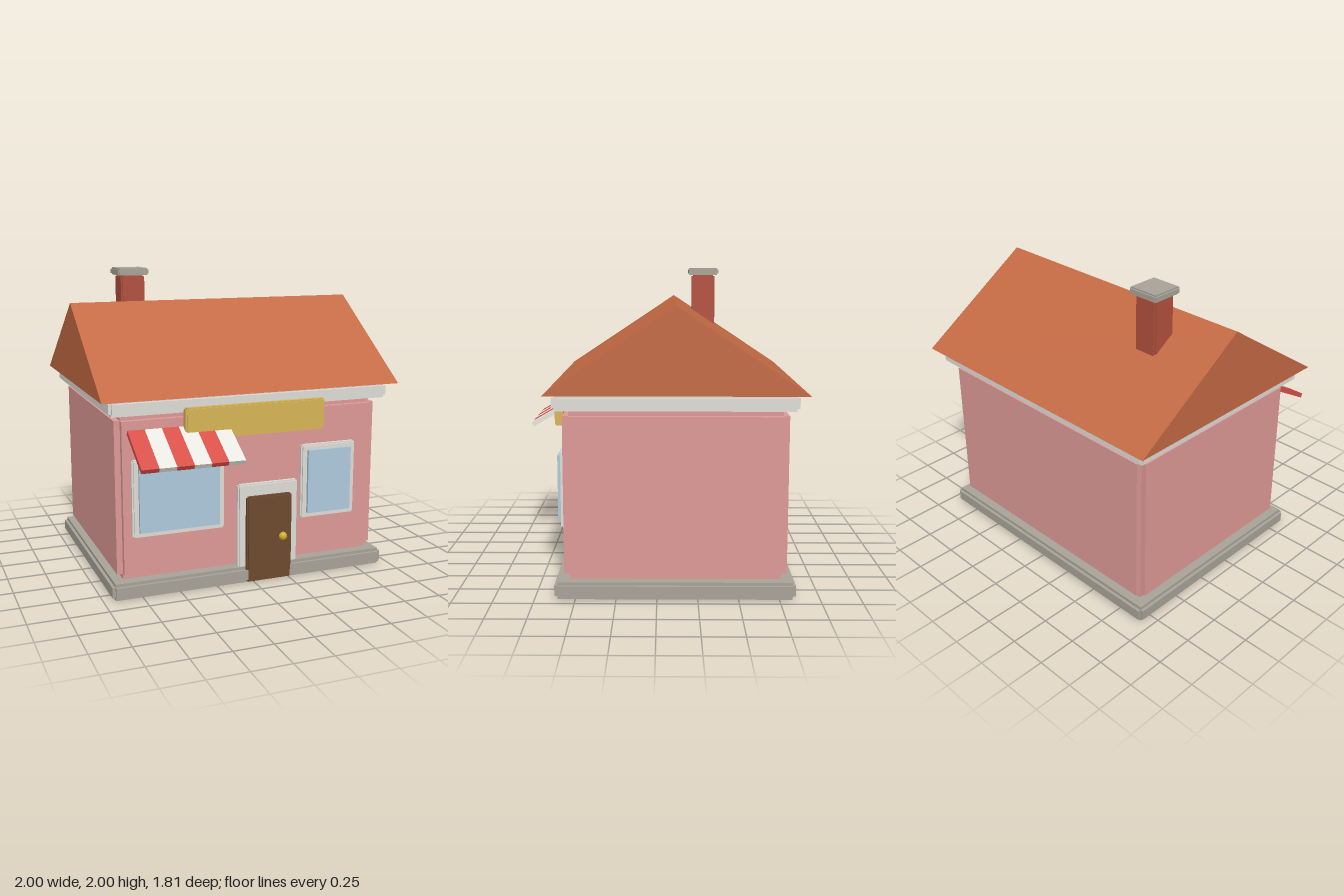
import * as THREE from 'three';

const mat = (color) => new THREE.MeshStandardMaterial({ color, flatShading: true });
const COL = {
  wall: mat(0xdf9a97), stone: mat(0xa8a499), trim: mat(0xe0ded8), roof: mat(0xc46a44),
  brick: mat(0xb3503e), sign: mat(0xd8b757), red: mat(0xd9504a), white: mat(0xe8e6e0),
  glass: mat(0xafcbde), door: mat(0x6e4a2e), brass: mat(0xd0a828),
};

export function createModel() {
  const house = new THREE.Group();
  house.name = 'shop';

  // Block with notched edges: three crossing boxes, each full size along one axis
  function block(name, material, [x0, x1], [y0, y1], [z0, z1], notch) {
    const part = new THREE.Group();
    part.name = name;
    const size = [x1 - x0, y1 - y0, z1 - z0];
    for (let axis = 0; axis < 3; axis++) {
      const dims = size.map((s, i) => (i === axis ? s : s - 2 * notch));
      const mesh = new THREE.Mesh(new THREE.BoxGeometry(...dims), material);
      mesh.name = name + 'Core' + 'XYZ'[axis];
      part.add(mesh);
    }
    part.position.set((x0 + x1) / 2, (y0 + y1) / 2, (z0 + z1) / 2);
    house.add(part);
    return part;
  }

  // Base, walls and cornice
  block('base', COL.stone, [-0.945, 0.945], [0, 0.108], [-0.85, 0.628], 0.02);
  block('walls', COL.wall, [-0.895, 0.895], [0.105, 1.165], [-0.8, 0.573], 0.038);
  block('cornice', COL.trim, [-0.945, 0.945], [1.165, 1.265], [-0.85, 0.628], 0.018);

  // Gable roof: triangle extruded along x
  const gable = new THREE.Shape([
    new THREE.Vector2(-0.79, 0), new THREE.Vector2(0.79, 0), new THREE.Vector2(0, 0.525),
  ]);
  const roofGeo = new THREE.ExtrudeGeometry(gable, { depth: 2, bevelEnabled: false });
  roofGeo.translate(0, 0, -1).rotateY(Math.PI / 2);
  const roof = new THREE.Mesh(roofGeo, COL.roof);
  roof.name = 'roof';
  roof.position.set(0, 1.265, -0.115);
  house.add(roof);

  // Chimney
  block('chimney', COL.brick, [-0.62, -0.455], [1.4, 1.955], [-0.407, -0.242], 0.012);
  block('chimneyCap', COL.stone, [-0.645, -0.43], [1.952, 2], [-0.433, -0.218], 0.01);

  // Windows
  for (const [side, x0, x1] of [['right', -0.805, -0.2], ['left', 0.34, 0.73]]) {
    block(side + 'WindowFrame', COL.trim, [x0, x1], [0.39, 0.885], [0.55, 0.603], 0.01);
    const pane = new THREE.Mesh(new THREE.BoxGeometry(x1 - x0 - 0.08, 0.425, 0.04), COL.glass);
    pane.name = side + 'WindowGlass';
    pane.position.set((x0 + x1) / 2, 0.637, 0.604);
    house.add(pane);
  }

  // Door with surround and knob
  block('doorFrame', COL.trim, [-0.105, 0.313], [0.02, 0.66], [0.55, 0.603], 0.01);
  block('door', COL.door, [-0.053, 0.262], [0.006, 0.58], [0.58, 0.634], 0.01);
  const knob = new THREE.Mesh(new THREE.SphereGeometry(0.029, 12, 8), COL.brass);
  knob.name = 'doorKnob';
  knob.position.set(0.198, 0.294, 0.635);
  house.add(knob);

  // Blank sign board
  block('signBoard', COL.sign, [-0.475, 0.468], [0.998, 1.2], [0.61, 0.663], 0.008);

  // Striped sloping awning
  const awning = new THREE.Group();
  awning.name = 'awning';
  const stripes = 6, width = 0.652 / stripes;
  for (let i = 0; i < stripes; i++) {
    const stripe = new THREE.Mesh(new THREE.BoxGeometry(width, 0.03, 0.343), i % 2 ? COL.white : COL.red);
    stripe.name = 'awningStripe' + (i + 1);
    stripe.position.x = (i - (stripes - 1) / 2) * width;
    awning.add(stripe);
  }
  awning.rotation.x = 0.52;
  awning.position.set(-0.504, 0.98, 0.75);
  house.add(awning);

  return house;
}
